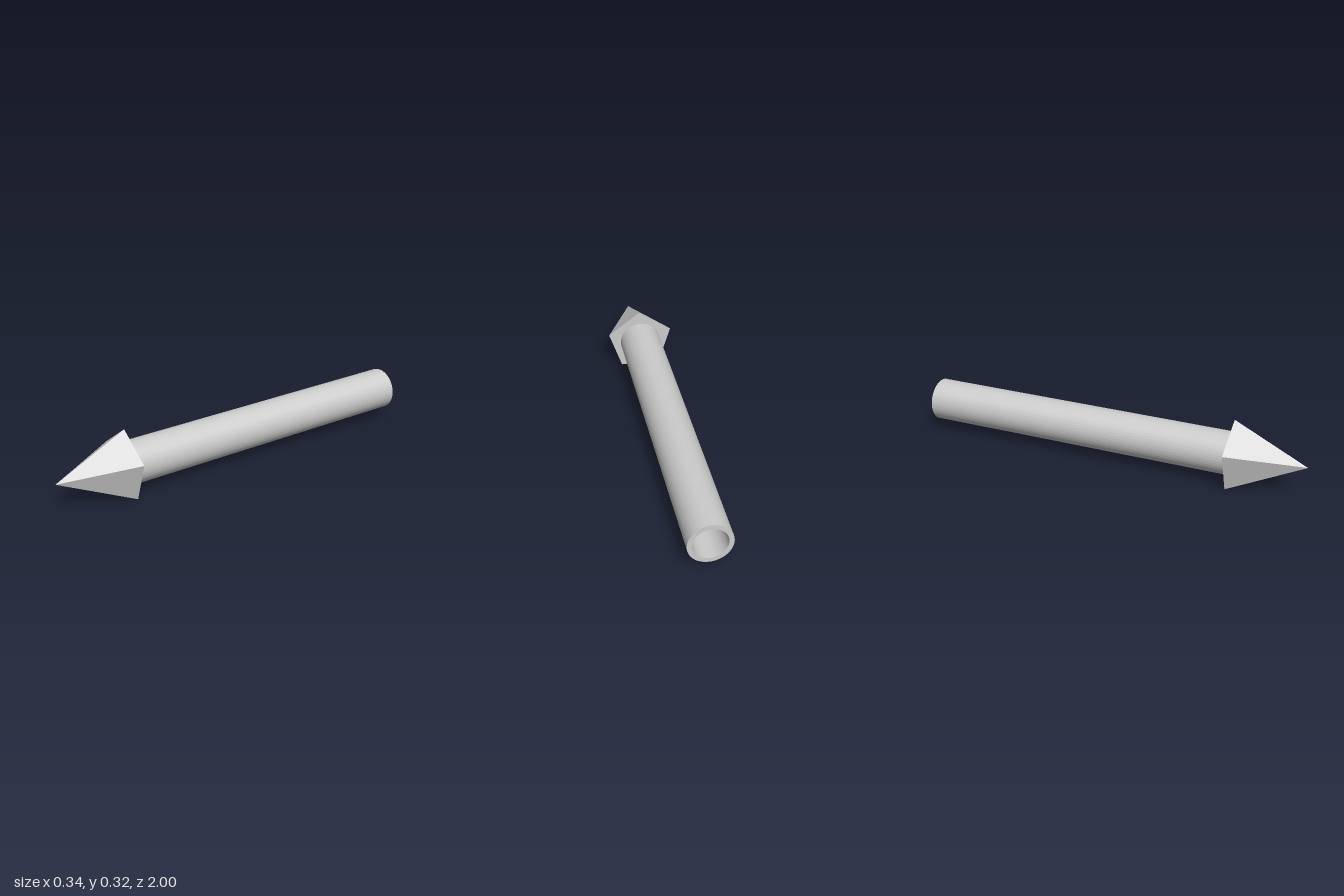
import * as THREE from 'three';

const AXIS_Y = 0.146; // height of the centre line
const HEAD_BASE = 0.632; // z where the head meets the shaft

export function createModel() {
  const group = new THREE.Group();
  const material = new THREE.MeshStandardMaterial({ color: 0xcccccc, flatShading: true });

  const add = (name, geometry) => {
    const mesh = new THREE.Mesh(geometry, material);
    mesh.name = name;
    mesh.position.y = AXIS_Y;
    group.add(mesh);
  };

  // Hollow shaft: a closed wall section turned around the long axis
  const outer = 0.106, inner = 0.083;
  const wall = [
    [outer, -1], [outer, HEAD_BASE], [inner, HEAD_BASE], [inner, -1], [outer, -1],
  ].map(([r, z]) => new THREE.Vector2(r, z));
  add('shaft', new THREE.LatheGeometry(wall, 48).rotateX(Math.PI / 2));

  // Five-sided pointed head, one corner up and very slightly turned
  const length = 1 - HEAD_BASE;
  add('head', new THREE.ConeGeometry(0.177, length, 5)
    .rotateX(Math.PI / 2)
    .rotateZ(Math.PI - 0.01)
    .translate(0, 0, HEAD_BASE + length / 2));

  return group;
}
